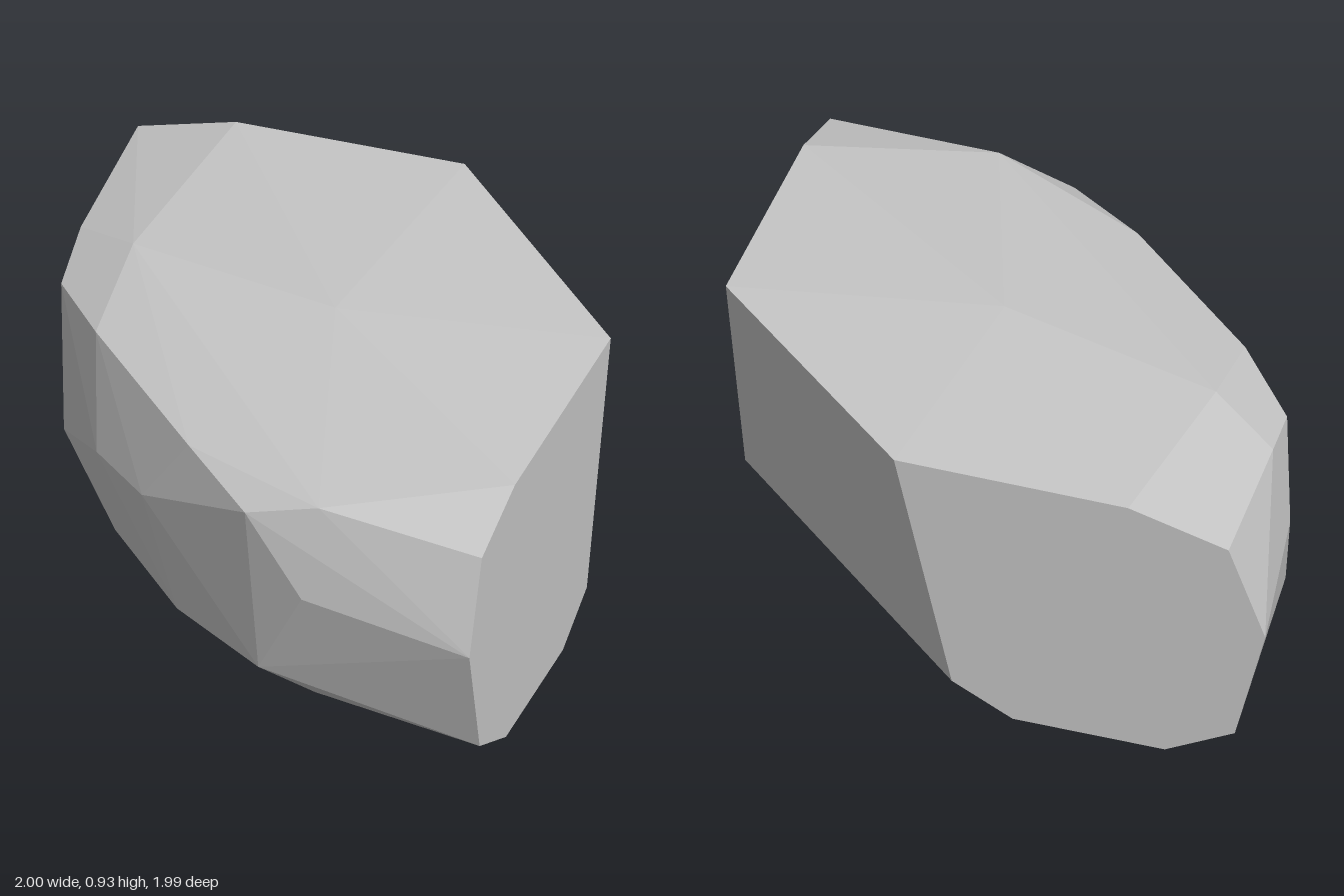
import * as THREE from 'three';
import { ConvexGeometry } from 'three/addons/geometries/ConvexGeometry.js';

export function createModel() {
  const group = new THREE.Group();
  group.name = 'rock';
  const stone = new THREE.MeshStandardMaterial({ color: 0xc7c7c7 });
  stone.name = 'light grey stone';

  // Corners of the boulder as [x, y, z], ring by ring from base to crown
  const base = [
    [-0.67, 0, -1], [-0.65, 0, -0.35], [0.35, 0, 0.65], [1, 0, 0.67],
    [1, 0.015, 0.17], [-0.17, 0.015, -1],
  ];
  const lower = [
    [-0.9, 0.11, -1], [-0.83, 0.165, -0.22], [-0.5, 0.12, 0.19], [-0.15, 0.14, 0.56],
    [0.22, 0.165, 0.81], [1, 0.11, 0.9], [1, 0.12, -0.04], [0.03, 0.12, -1],
  ];
  const waist = [
    [-1, 0.5, -1], [-0.9, 0.52, -0.4], [-0.52, 0.48, 0.3], [-0.28, 0.52, 0.53],
    [0.4, 0.52, 0.9], [1, 0.5, 0.99],
  ];
  const shoulder = [
    [-0.88, 0.81, -1], [-0.85, 0.8, -0.42], [-0.82, 0.75, -0.17], [-0.6, 0.79, 0.1],
    [-0.1, 0.79, 0.59], [0.18, 0.75, 0.825], [0.43, 0.83, 0.83], [1, 0.81, 0.88],
  ];
  const crown = [
    [-0.55, 0.905, -1], [-0.62, 0.88, -0.28], [0.13, 0.932, -0.1], [1, 0.905, 0.59],
    [1, 0.932, -0.25], [0.22, 0.932, -1],
  ];

  // Faceted skin stretched over all the corners
  const corners = [base, lower, waist, shoulder, crown].flat().map((p) => new THREE.Vector3(...p));
  const boulder = new THREE.Mesh(new ConvexGeometry(corners), stone);
  boulder.name = 'boulder';
  group.add(boulder);
  return group;
}
